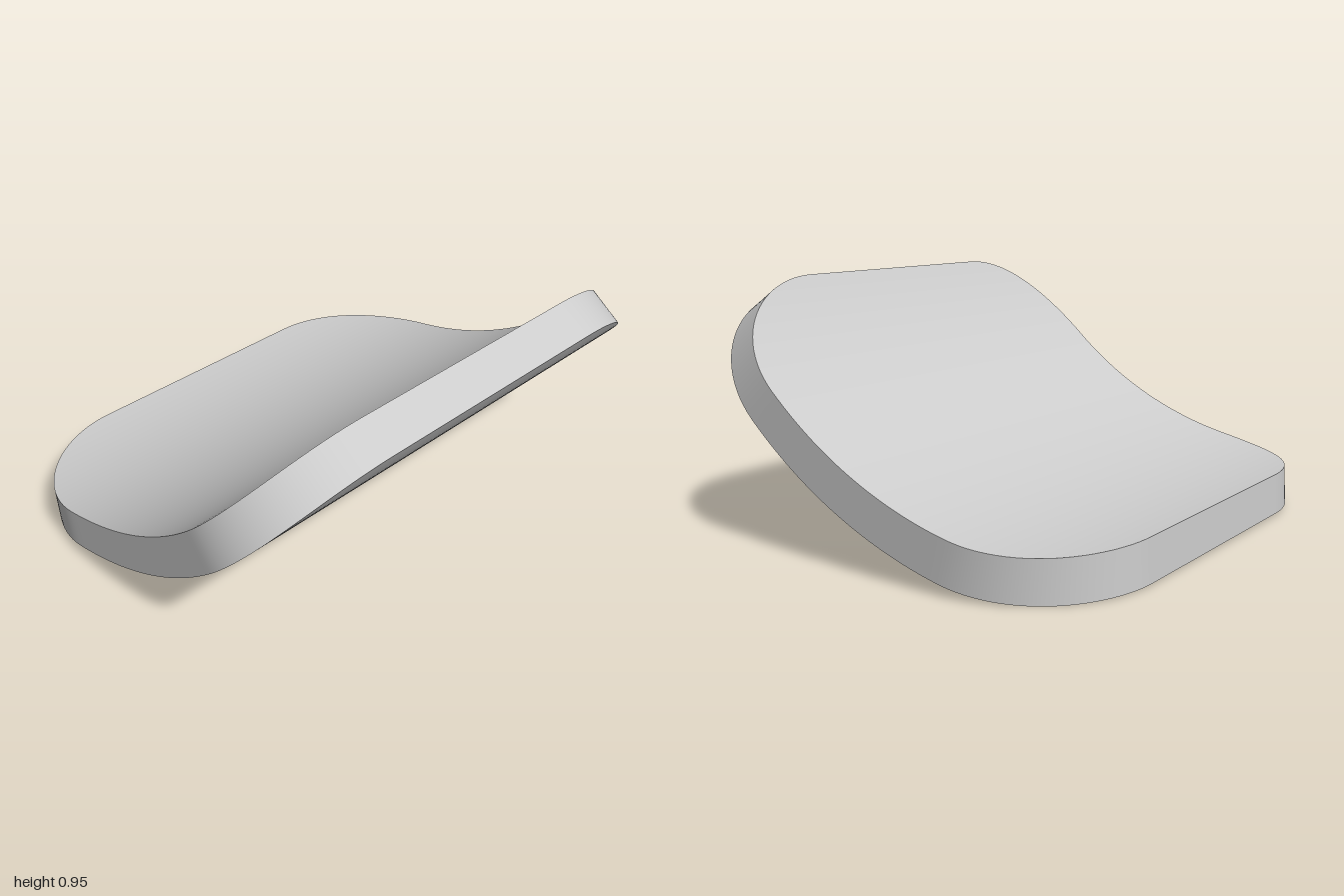
import * as THREE from 'three';

const DEG = Math.PI / 180;
const R_IN = 1.6, R_OUT = 1.753;            // radii of upper and lower faces
const AXIS_X = -0.7, AXIS_Y = 1.76;         // bend axis, running along z
const START = -3.8 * DEG, END = 59.5 * DEG; // angular span of the bend
const HALF_DEPTH = 0.973, CORNER = 0.48;

// Wrap a flat outline point (arc length s, z) onto a cylinder of the given radius
function bend(s, z, radius) {
  const a = (START + END) / 2 + s / ((R_IN + R_OUT) / 2);
  return [AXIS_X + radius * Math.sin(a), AXIS_Y - radius * Math.cos(a), z];
}

// Cross-sections of a rounded rectangle: [arc length, half width]
function stations() {
  const half = (END - START) * (R_IN + R_OUT) / 4;
  const corner = [], n = 24, mid = 28;
  for (let i = 0; i <= n; i++) {
    const a = (i / n) * Math.PI / 2;
    corner.push([-half + CORNER * (1 - Math.cos(a)), HALF_DEPTH - CORNER + CORNER * Math.sin(a)]);
  }
  const list = [...corner];
  for (let i = 1; i < mid; i++) {
    list.push([(half - CORNER) * (2 * i / mid - 1), HALF_DEPTH]);
  }
  for (const [s, w] of corner.reverse()) list.push([-s, w]);
  return list;
}

function buildGeometry() {
  const rows = stations(), positions = [], index = [];
  const add = (s, z, r) => positions.push(...bend(s, z, r)) / 3 - 1;
  const quad = (a, b, c, d) => index.push(a, b, c, a, c, d);

  // Upper and lower faces, each with its own vertices for crisp edges
  for (const radius of [R_IN, R_OUT]) {
    const pairs = rows.map(([s, w]) => [add(s, w, radius), add(s, -w, radius)]);
    for (let i = 0; i < pairs.length - 1; i++) {
      const [a, d] = pairs[i], [b, c] = pairs[i + 1];
      if (radius === R_IN) quad(a, b, c, d);
      else quad(d, c, b, a);
    }
  }

  // Continuous rim around the outline
  const outline = [...rows, ...[...rows].reverse().map(([s, w]) => [s, -w])];
  const rim = outline.map(([s, z]) => [add(s, z, R_OUT), add(s, z, R_IN)]);
  rim.forEach(([b0, t0], i) => {
    const [b1, t1] = rim[(i + 1) % rim.length];
    quad(b0, b1, t1, t0);
  });

  const geometry = new THREE.BufferGeometry();
  geometry.setAttribute('position', new THREE.Float32BufferAttribute(positions, 3));
  geometry.setIndex(index);
  geometry.computeVertexNormals();
  return geometry;
}

export function createModel() {
  const group = new THREE.Group();
  group.name = 'curvedPanel';
  const panel = new THREE.Mesh(buildGeometry(), new THREE.MeshStandardMaterial({ color: 0xcccccc }));
  panel.name = 'panel';
  // Slight turn and tilt of the whole panel
  panel.rotation.set(-0.008, 0.089, 0, 'YXZ');
  group.add(panel);
  return group;
}
